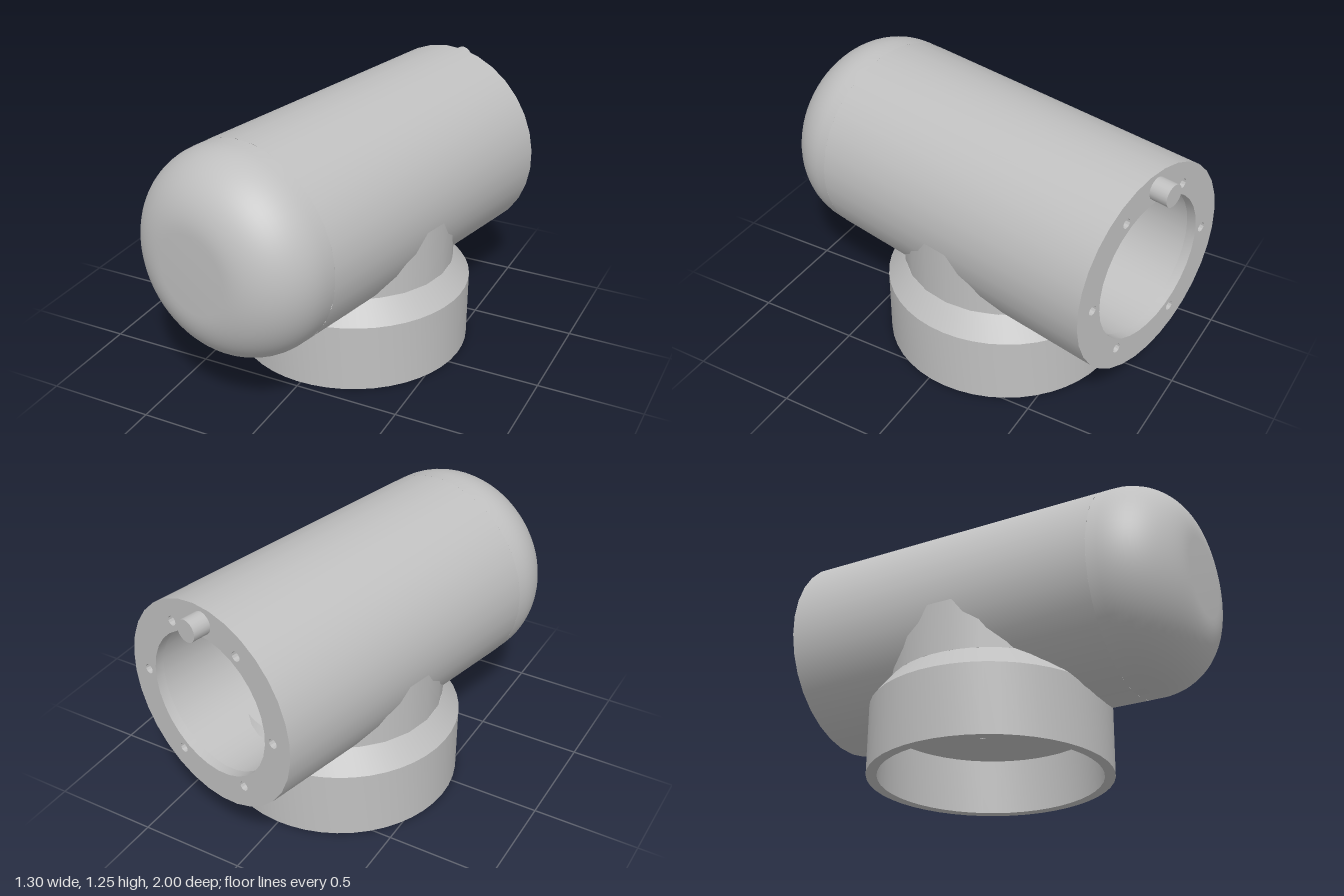
import * as THREE from 'three';
import { toCreasedNormals } from 'three/addons/utils/BufferGeometryUtils.js';

const R = 0.4875;       // barrel radius
const AXIS_Y = 0.76;    // barrel axis height
const YAW = -0.22;      // barrel heading
const SEG = 32;

export function createModel() {
  const grey = new THREE.MeshStandardMaterial({ color: 0xc0c0c0, side: THREE.DoubleSide });
  grey.name = 'grey';
  const model = new THREE.Group();
  model.name = 'cameraHousing';

  const add = (parent, name, geometry, x = 0, y = 0, z = 0) => {
    const mesh = new THREE.Mesh(geometry, grey);
    mesh.name = name;
    mesh.position.set(x, y, z);
    parent.add(mesh);
  };
  const lathe = (points, seg = SEG) => toCreasedNormals(
    new THREE.LatheGeometry(points.map(([x, y]) => new THREE.Vector2(x, y)), seg, Math.PI / seg), 0.5);
  // Blind hole opening at y = 0 and going up
  const socket = (r, depth) => lathe([[0, depth], [r, depth], [r, 0]], 12);
  const circle = (r, n, cx = 0, cy = 0) => Array.from({ length: n }, (_, i) => {
    const a = (i + 0.5) / n * Math.PI * 2;
    return new THREE.Vector2(cx + r * Math.cos(a), cy + r * Math.sin(a));
  });
  // Flat disc with a set of round holes
  const plate = (outline, holes) => {
    const shape = new THREE.Shape(outline);
    shape.holes = holes.map((h) => new THREE.Path(h));
    return new THREE.ShapeGeometry(shape);
  };
  const around = (n, r) => Array.from({ length: n }, (_, i) => {
    const a = i / n * Math.PI * 2;
    return [r * Math.cos(a), r * Math.sin(a)];
  });
  const rounded = (r, fillet, end) => Array.from({ length: 17 }, (_, i) => {
    const a = i / 16 * Math.PI / 2;
    return [r - fillet + fillet * Math.cos(a), end - fillet + fillet * Math.sin(a)];
  });

  // Barrel: local z runs from the open back to the domed front
  const barrel = new THREE.Group();
  barrel.name = 'barrel';
  barrel.position.set(0.172, AXIS_Y, -0.895);
  barrel.rotation.y = YAW;
  model.add(barrel);
  add(barrel, 'shell', lathe([[R, 0], [R, 1.54]]).rotateX(Math.PI / 2));
  add(barrel, 'dome', lathe([[0.486, 1.54], ...rounded(0.486, 0.3, 1.893), [0, 1.893]], 64).rotateX(Math.PI / 2));

  // Bore, wider behind a narrow lip at the opening
  add(barrel, 'bore', lathe([[0, 1.73], ...rounded(0.36, 0.16, 1.73).reverse(),
    [0.36, 0.045], [0.342, 0.045], [0.342, 0]]).rotateX(Math.PI / 2));

  // Back flange with six screw holes
  const screws = around(6, 0.388);
  add(barrel, 'flange', plate(circle(R, SEG),
    [circle(0.342, SEG), ...screws.map(([x, y]) => circle(0.023, 12, x, y))]).rotateY(Math.PI));
  const flangeHole = socket(0.023, 0.045).rotateX(Math.PI / 2);
  for (const [x, y] of screws) add(barrel, 'flangeHole', flangeHole, x, y, 0);

  // Locating pin on the flange
  add(barrel, 'pin', new THREE.CylinderGeometry(0.052, 0.052, 0.12, 20).rotateX(Math.PI / 2), 0, 0.412, -0.025);

  // Base cup under the barrel
  const base = new THREE.Group();
  base.name = 'base';
  base.position.set(-0.004, 0, -0.1);
  base.rotation.y = YAW;
  model.add(base);
  add(base, 'cup', lathe([[0.518, 0.27], [0.518, 0], [0.567, 0], [0.567, 0.33], [0.485, 0.435]], 48));

  // Cup ceiling with eight holes
  const ring = around(8, 0.178);
  add(base, 'ceiling', plate(circle(0.518, 48), ring.map(([x, y]) => circle(0.027, 12, x, y)))
    .rotateX(Math.PI / 2), 0, 0.27, 0);
  const ceilingHole = socket(0.027, 0.06);
  for (const [x, z] of ring) add(base, 'ceilingHole', ceilingHole, x, 0.27, z);

  // Neck whose upper edge follows the barrel surface, sunk slightly into it
  const neck = new THREE.CylinderGeometry(0.486, 0.486, 1, 24, 1, true, Math.PI / 24);
  const p = neck.attributes.position;
  for (let i = 0; i < p.count; i++) {
    const x = p.getX(i);
    const top = AXIS_Y - Math.sqrt(R * R - x * x) + 0.03;
    p.setY(i, p.getY(i) < 0 ? 0.435 : Math.max(0.435, top));
  }
  add(base, 'neck', neck);

  return model;
}
